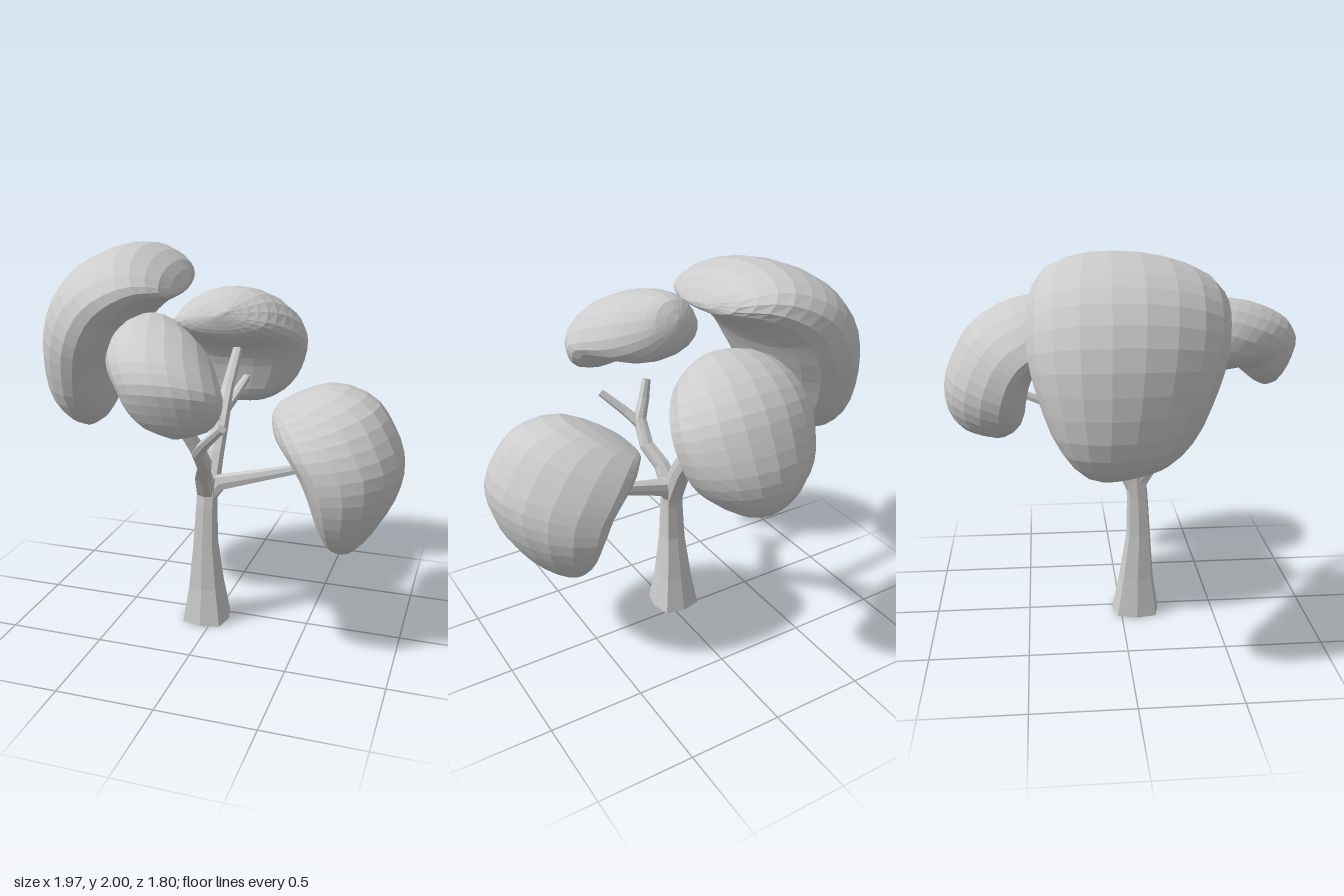
import * as THREE from 'three';

const V = (x, y, z) => new THREE.Vector3(x, y, z);
const UP = V(0, 1, 0);
const grey = new THREE.MeshStandardMaterial({ color: 0xcccccc, flatShading: true });

// Skins a list of equal rings and closes both ends with a fan
function skin(rings) {
  const n = rings[0].length, m = rings.length;
  const pts = rings.flat(), idx = [];
  for (let i = 0; i < m - 1; i++) {
    for (let j = 0; j < n; j++) {
      const a = i * n + j, d = i * n + (j + 1) % n;
      idx.push(a, a + n, d + n, a, d + n, d);
    }
  }
  for (const end of [0, m - 1]) {
    const centre = V(0, 0, 0);
    rings[end].forEach(p => centre.addScaledVector(p, 1 / n));
    const c = pts.push(centre) - 1;
    for (let j = 0; j < n; j++) {
      const a = end * n + j, b = end * n + (j + 1) % n;
      if (end === 0) idx.push(c, a, b);
      else idx.push(c, b, a);
    }
  }
  const geo = new THREE.BufferGeometry().setFromPoints(pts);
  geo.setIndex(idx);
  geo.computeVertexNormals();
  return geo;
}

// Tapering, slightly square eight-sided limb through points [x, y, z, radius]
function limb(nodes) {
  const pts = nodes.map(([x, y, z]) => V(x, y, z));
  const q = new THREE.Quaternion();
  return skin(nodes.map((node, i) => {
    const dir = pts[Math.min(i + 1, pts.length - 1)].clone().sub(pts[Math.max(i - 1, 0)]).normalize();
    q.setFromUnitVectors(UP, dir);
    return Array.from({ length: 8 }, (_, j) => {
      const a = j * Math.PI / 4, r = node[3] * (j % 2 ? 1.15 : 1);
      return V(Math.cos(a), 0, Math.sin(a)).multiplyScalar(r).applyQuaternion(q).add(pts[i]);
    });
  }));
}

// Bean-shaped clump: stations [innerU, innerY, outerU, outerY, halfWidth, sideways] run
// from the drooping tip to the upper tip; U is the horizontal direction it faces, mid the
// depth where it is widest, lean the sideways slant of its outer face
function clump(U, mid, lean, stations) {
  const W = U.clone().cross(UP);
  const inner = new THREE.CatmullRomCurve3(stations.map(s => V(s[0], s[1], s[4])));
  const outer = new THREE.CatmullRomCurve3(stations.map(s => V(s[2], s[3], s[5])));
  const rings = [], rows = 20, sides = 20;
  for (let i = 0; i <= rows; i++) {
    const t = 0.012 + 0.976 * i / rows;
    const p = inner.getPoint(t), o = outer.getPoint(t);
    rings.push(Array.from({ length: sides }, (_, j) => {
      const a = j / sides * Math.PI * 2, c = Math.cos(a);
      const k = mid + c * (c < 0 ? mid : 1 - mid);
      const u = p.x + (o.x - p.x) * k, y = p.y + (o.y - p.y) * k;
      const w = o.z + lean * (k - mid) + p.z * Math.sin(a);
      return V(0, y, 0).addScaledVector(U, u).addScaledVector(W, w);
    }));
  }
  return skin(rings);
}

const limbs = {
  trunk: [[-0.045, 0, 0.08, 0.126], [-0.045, 0.2, 0.085, 0.092], [-0.045, 0.45, 0.095, 0.064],
    [-0.04, 0.66, 0.09, 0.055], [-0.035, 0.82, 0.075, 0.053]],
  backBough: [[-0.035, 0.72, 0.08, 0.054], [-0.03, 0.92, -0.02, 0.048], [-0.03, 1.08, -0.13, 0.044],
    [-0.035, 1.2, -0.25, 0.033], [-0.02, 1.42, -0.42, 0.025]],
  backTwig: [[-0.035, 1.1, -0.17, 0.03], [-0.01, 1.16, -0.33, 0.025], [0.01, 1.23, -0.52, 0.02]],
  rightwardBough: [[-0.035, 1.05, -0.11, 0.04], [-0.12, 1.16, -0.12, 0.035], [-0.3, 1.3, -0.08, 0.028],
    [-0.43, 1.41, -0.03, 0.025], [-0.5, 1.53, 0.05, 0.018]],
  rightwardTwig: [[-0.38, 1.36, -0.05, 0.024], [-0.44, 1.43, -0.07, 0.02], [-0.49, 1.48, -0.11, 0.015]],
  leftwardBough: [[-0.05, 0.7, 0.085, 0.048], [0.03, 0.79, 0.07, 0.043], [0.28, 0.86, 0.065, 0.03],
    [0.52, 0.93, 0.06, 0.024]],
  frontBough: [[-0.04, 0.74, 0.09, 0.05], [-0.03, 0.86, 0.18, 0.04], [0.01, 0.95, 0.27, 0.036],
    [0, 1.07, 0.36, 0.033], [-0.05, 1.17, 0.4, 0.027], [-0.08, 1.27, 0.42, 0.02]],
  frontTwig: [[0, 1.04, 0.35, 0.032], [0.06, 1.11, 0.41, 0.026], [0.17, 1.22, 0.49, 0.02]],
};

const clumps = {
  rightFoliage: [V(-1, 0, 0), 0.42, 0.17, [
    [0.74, 1.02, 0.76, 1.02, 0, 0.02], [0.63, 1.08, 0.89, 1.07, 0.18, 0.02],
    [0.57, 1.2, 0.97, 1.2, 0.3, 0.02], [0.51, 1.38, 0.985, 1.42, 0.39, 0.015],
    [0.46, 1.48, 0.94, 1.65, 0.44, 0.01], [0.4, 1.59, 0.82, 1.84, 0.455, 0],
    [0.33, 1.67, 0.65, 1.95, 0.445, -0.01], [0.25, 1.73, 0.43, 2, 0.39, -0.02],
    [0.18, 1.765, 0.24, 1.92, 0.27, -0.05], [0.16, 1.79, 0.16, 1.81, 0, -0.08]]],
  leftFoliage: [V(1, 0, 0), 0.3, 0.1, [
    [0.68, 0.5, 0.69, 0.5, 0, 0.06], [0.61, 0.57, 0.77, 0.55, 0.2, 0.055],
    [0.55, 0.69, 0.88, 0.69, 0.32, 0.045], [0.5, 0.83, 0.96, 0.86, 0.385, 0.04],
    [0.45, 0.93, 0.98, 1.02, 0.395, 0.04], [0.38, 1.02, 0.92, 1.17, 0.38, 0.03],
    [0.32, 1.08, 0.82, 1.3, 0.33, 0.01], [0.29, 1.14, 0.62, 1.36, 0.24, -0.02],
    [0.28, 1.17, 0.42, 1.29, 0.13, -0.06], [0.3, 1.21, 0.31, 1.22, 0, -0.08]]],
  frontFoliage: [V(0, 0, 1), 0.42, 0, [
    [0.76, 1.24, 0.77, 1.24, 0, -0.04], [0.69, 1.28, 0.83, 1.29, 0.15, -0.035],
    [0.63, 1.33, 0.88, 1.39, 0.22, -0.02], [0.58, 1.37, 0.905, 1.5, 0.245, 0],
    [0.5, 1.365, 0.85, 1.6, 0.26, 0.05], [0.42, 1.365, 0.74, 1.67, 0.265, 0.1],
    [0.36, 1.39, 0.6, 1.72, 0.25, 0.14], [0.31, 1.44, 0.48, 1.735, 0.2, 0.18],
    [0.285, 1.51, 0.36, 1.72, 0.12, 0.2], [0.285, 1.6, 0.285, 1.62, 0, 0.21]]],
  backFoliage: [V(0, 0, -1), 0.3, 0.06, [
    [0.67, 1.045, 0.69, 1.045, 0, -0.07], [0.56, 1.06, 0.82, 1.08, 0.16, -0.07],
    [0.5, 1.12, 0.89, 1.2, 0.27, -0.06], [0.48, 1.22, 0.89, 1.33, 0.34, -0.05],
    [0.45, 1.33, 0.83, 1.48, 0.37, -0.045], [0.4, 1.4, 0.75, 1.6, 0.37, -0.05],
    [0.32, 1.45, 0.6, 1.7, 0.335, -0.07], [0.26, 1.5, 0.42, 1.74, 0.26, -0.08],
    [0.24, 1.55, 0.3, 1.7, 0.15, -0.08], [0.23, 1.61, 0.23, 1.63, 0, -0.07]]],
};

export function createModel() {
  const tree = new THREE.Group();
  tree.name = 'tree';
  const add = (name, geo) => {
    const mesh = new THREE.Mesh(geo, grey);
    mesh.name = name;
    tree.add(mesh);
  };
  for (const [name, nodes] of Object.entries(limbs)) add(name, limb(nodes));
  for (const [name, args] of Object.entries(clumps)) add(name, clump(...args));
  return tree;
}
